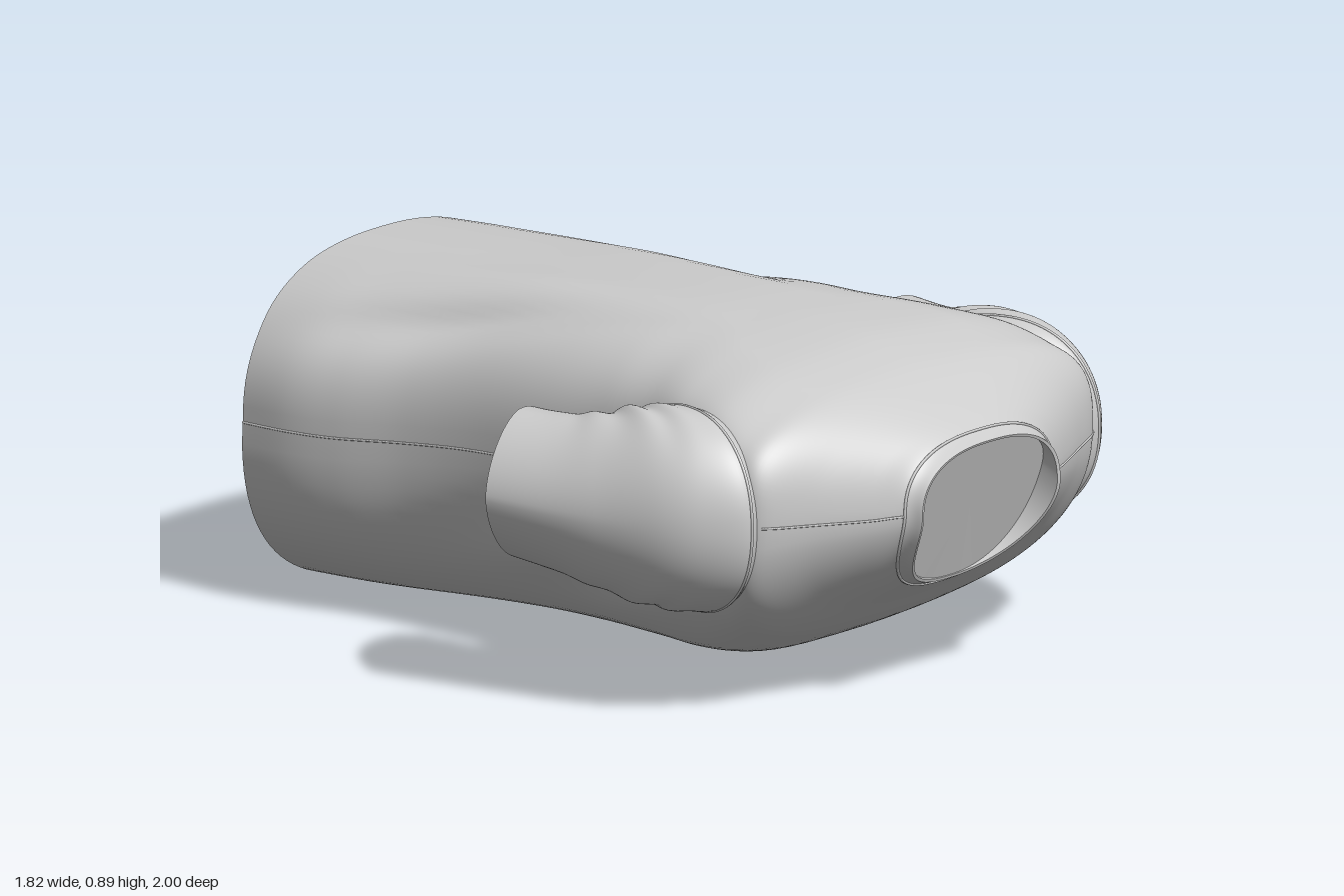
import * as THREE from 'three';
import { toCreasedNormals, mergeVertices } from 'three/addons/utils/BufferGeometryUtils.js';

const material = new THREE.MeshStandardMaterial({ color: 0xcccccc, side: THREE.DoubleSide });
const V = (x, y, z) => new THREE.Vector3(x, y, z);
const AROUND = 96;
const bump = (d, w) => Math.exp(-(d * d) / (w * w));
const spow = (v, n) => Math.sign(v) * Math.pow(Math.abs(v), 2 / n);

// Smoothly interpolates a list of number rows at t in 0..1
function sample(rows, t) {
  const f = t * (rows.length - 1), i = Math.min(Math.floor(f), rows.length - 2), u = f - i;
  const at = k => rows[Math.max(0, Math.min(rows.length - 1, k))];
  return rows[0].map((_, c) => {
    const [a, b, d, e] = [at(i - 1)[c], at(i)[c], at(i + 1)[c], at(i + 2)[c]];
    return b + 0.5 * u * (d - a + u * (2 * a - 5 * b + 4 * d - e + u * (3 * (b - d) + e - a)));
  });
}

// Skins a list of closed rings
function loft(rings) {
  const n = rings[0].length, index = [];
  for (let i = 0; i < rings.length - 1; i++) {
    for (let j = 0; j < n; j++) {
      const a = i * n + j, b = i * n + (j + 1) % n;
      index.push(a, a + n, b, b, a + n, b + n);
    }
  }
  const g = new THREE.BufferGeometry().setFromPoints(rings.flat());
  g.setIndex(index);
  g.computeVertexNormals();
  return g;
}

function add(group, name, geometry) {
  const mesh = new THREE.Mesh(geometry, material);
  mesh.name = name;
  group.add(mesh);
}

// Rolled edge and a flat panel, sunk along its outward normal, closing an opening
function opening(edge, outward, depth) {
  const normal = outward.clone().normalize();
  const center = edge.reduce((s, p) => s.add(p), V(0, 0, 0)).divideScalar(edge.length);
  const plane = new THREE.Plane().setFromNormalAndCoplanarPoint(normal, center.addScaledVector(normal, -depth));
  const lip = edge.map(p => p.clone().lerp(center, 0.035));
  const panel = lip.map(p => plane.projectPoint(p, V(0, 0, 0)));
  const g = loft([edge.map(() => center), panel, lip, edge]);
  g.deleteAttribute('normal');
  return toCreasedNormals(mergeVertices(g), 0.6);
}

// Torso sections: z, half width, bottom, top, widest height, front neck dip,
// top fullness, bottom fullness, slope of the top toward the sides
const TORSO = [
  [1, 0.265, 0.28, 0.66, 0.5, 0.14, 2.5, 2.3, 0],
  [0.96, 0.285, 0.27, 0.68, 0.51, 0.13, 2.5, 2.3, 0],
  [0.92, 0.37, 0.25, 0.71, 0.51, 0.13, 2.6, 2.4, 0],
  [0.86, 0.5, 0.22, 0.75, 0.515, 0.12, 2.9, 2.6, 0.01],
  [0.79, 0.635, 0.185, 0.79, 0.52, 0.1, 3.8, 3, 0.04],
  [0.71, 0.645, 0.15, 0.825, 0.52, 0.07, 6.5, 3.3, 0.08],
  [0.59, 0.612, 0.1, 0.86, 0.52, 0.04, 9, 3.1, 0.085],
  [0.45, 0.574, 0.055, 0.88, 0.52, 0.01, 8, 2.9, 0.095],
  [0.3, 0.535, 0.032, 0.89, 0.52, 0, 5, 2.8, 0.09],
  [0.15, 0.512, 0.028, 0.895, 0.52, 0, 3.8, 2.6, 0.06],
  [-0.05, 0.502, 0.025, 0.895, 0.52, 0, 3, 2.35, 0.03],
  [-0.3, 0.49, 0.022, 0.89, 0.51, 0, 2.6, 2.1, 0],
  [-0.5, 0.5, 0.018, 0.883, 0.495, 0, 2.5, 1.95, 0],
  [-0.7, 0.532, 0.014, 0.878, 0.48, 0, 2.4, 1.9, 0],
  [-0.85, 0.545, 0.008, 0.874, 0.475, 0, 2.4, 1.85, 0],
  [-1, 0.535, 0.003, 0.87, 0.47, 0, 2.4, 1.85, 0],
];

function torsoPoint(t, a) {
  const [z, w, lo, hi, mid, dip, nTop, nLow, slope] = sample(TORSO, t);
  const up = Math.sin(a) >= 0;
  // The underside hangs fuller on the right toward the hem
  const hang = Math.cos(a) < 0 ? 0.7 * THREE.MathUtils.smoothstep(-z, 0, 0.8) : 0;
  const n = up ? nTop : nLow + hang;
  let x = w * spow(Math.cos(a), n);
  let y = mid + (up ? hi - mid : mid - lo) * spow(Math.sin(a), n);
  const zz = z - dip * Math.pow(Math.max(0, (mid - y) / (mid - lo)), 1.5);
  // Draped folds running from the underarm toward the hem
  const body = bump(z + 0.42, 0.42), side = Math.abs(x);
  if (up) {
    y -= slope * Math.pow(side / w, 2.4) * (y - mid) / (hi - mid);
    const groove = 1 - 0.09 * body * bump(side - (0.36 - 0.22 * (z + 0.4)), 0.06);
    x *= groove;
    y = mid + (y - mid) * groove + 0.012 * body * bump(side - (0.2 - 0.12 * (z + 0.4)), 0.07);
  } else {
    const pull = bump(z - 0.05, 0.35) * bump(y - 0.25, 0.13);
    x *= 1 + 0.025 * pull * Math.sin(24 * (y - 0.45 * z));
  }
  return V(x, y, zz);
}

// Sleeve sections: inner x, inner z, outer x, outer z, bottom, top, outer fullness
const SLEEVE = [
  [0.47, 0.29, 0.6, 0.75, 0.28, 0.76, 2.2],
  [0.525, 0.27, 0.665, 0.785, 0.265, 0.78, 2.2],
  [0.535, 0.25, 0.745, 0.715, 0.268, 0.78, 2.1],
  [0.545, 0.21, 0.805, 0.61, 0.28, 0.765, 2],
  [0.55, 0.16, 0.85, 0.43, 0.305, 0.74, 1.85],
  [0.55, 0.11, 0.88, 0.28, 0.33, 0.728, 1.75],
  [0.555, 0.045, 0.91, 0.12, 0.35, 0.73, 1.7],
];

function sleevePoint(t, a, side) {
  const [ix, iz, ox, oz, lo, hi, full] = sample(SLEEVE, t);
  const n = Math.cos(a) > 0 ? full : 2.2;
  const c = spow(Math.cos(a), n), s = spow(Math.sin(a), n), k = (c + 1) / 2;
  // Creases gather on the inside of the bend
  const gather = bump(t - 0.5, 0.22) * (1 - k) * (0.4 + Math.abs(s));
  const r = 1 + 0.04 * gather * Math.sin(t * 34 + 4 * s);
  const y = (lo + hi) / 2 + (hi - lo) / 2 * s * r;
  return V(side * (ix + (ox - ix) * k), y, iz + (oz - iz) * k);
}

const ring = f => Array.from({ length: AROUND }, (_, j) => f(j / AROUND * Math.PI * 2));
const skin = (steps, f) => loft(Array.from({ length: steps + 1 }, (_, i) => ring(a => f(i / steps, a))));
const cord = (points, radius, closed = false) =>
  new THREE.TubeGeometry(new THREE.CatmullRomCurve3(points, closed), 96, radius, 6, closed);

export function createModel() {
  const shirt = new THREE.Group();
  shirt.name = 'shirt';

  // Body with closed neck and hem
  add(shirt, 'torso', skin(120, torsoPoint));
  add(shirt, 'neckOpening', opening(ring(a => torsoPoint(0, a)), V(0, -0.35, 1), 0.03));
  add(shirt, 'hemOpening', opening(ring(a => torsoPoint(1, a)), V(0, 0, -1), 0.012));

  // Collar edge
  add(shirt, 'collarSeam', cord(ring(a => torsoPoint(1 / 15, a)), 0.004, true));

  for (const side of [1, -1]) {
    const label = side > 0 ? 'left' : 'right';

    // Short sleeve bent back along the body
    const point = (t, a) => sleevePoint(t, a, side);
    add(shirt, label + 'Sleeve', skin(60, point));
    add(shirt, label + 'CuffOpening', opening(ring(a => point(1, a)), V(side * 0.2, 0, -1), 0.012));
    add(shirt, label + 'ArmholeSeam', cord(ring(a => point(1 / 6, a)), 0.004, true));

    // Shoulder and side seams along the widest line
    const angle = side > 0 ? 0 : Math.PI;
    const line = (t0, t1) => Array.from({ length: 25 }, (_, i) => torsoPoint(t0 + (t1 - t0) * i / 24, angle));
    add(shirt, label + 'ShoulderSeam', cord(line(1 / 15, 4 / 15), 0.003));
    add(shirt, label + 'SideSeam', cord(line(9 / 15, 1), 0.003));
  }
  return shirt;
}
